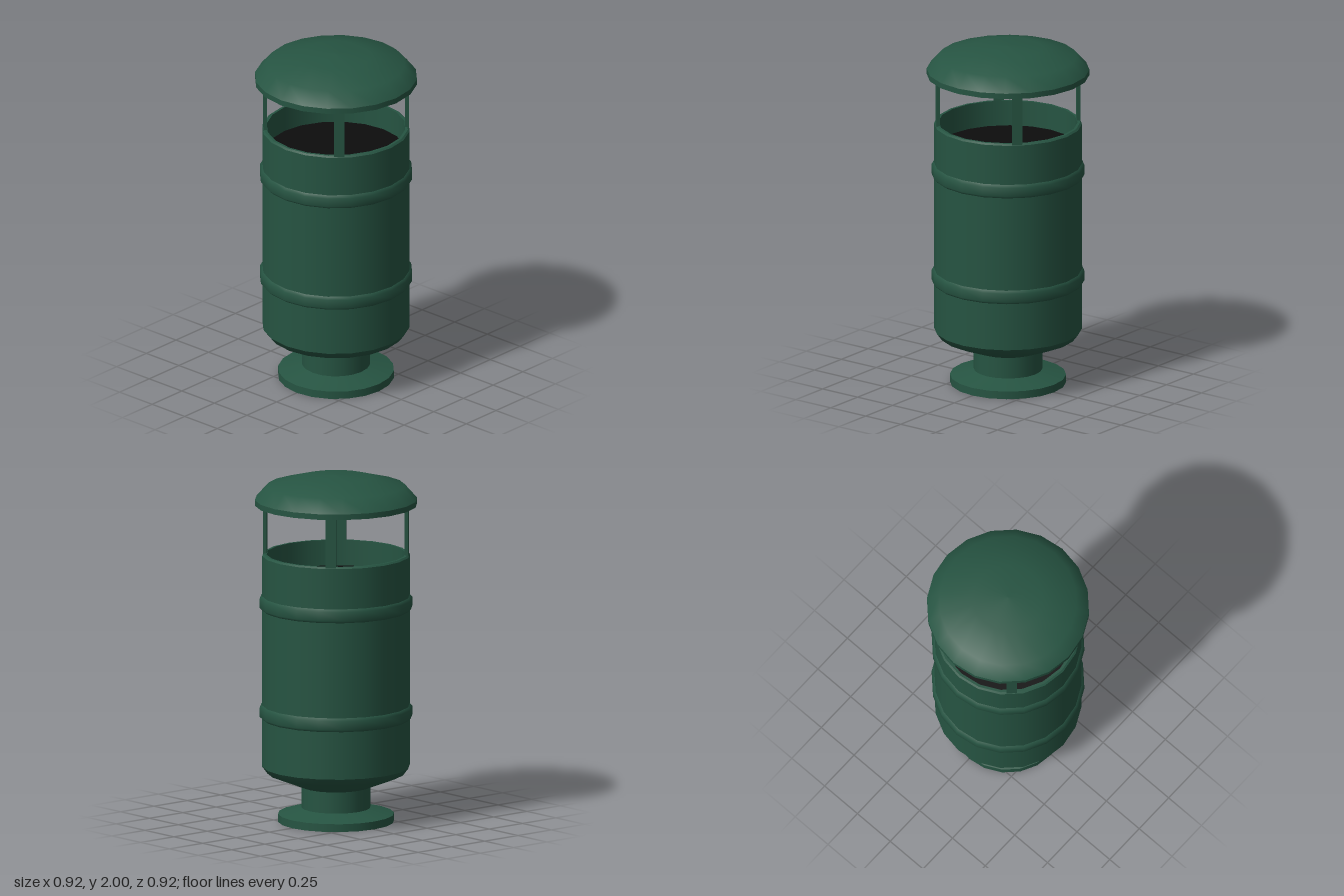
import * as THREE from 'three';
import { mergeGeometries } from 'three/addons/utils/BufferGeometryUtils.js';

const SIDES = 20;

// Turned part: each strip is smooth inside, with a sharp edge between strips.
function turned(name, material, ...strips) {
  const parts = strips.map((strip) =>
    new THREE.LatheGeometry(strip.map(([r, y]) => new THREE.Vector2(r, y)), SIDES));
  const mesh = new THREE.Mesh(mergeGeometries(parts), material);
  mesh.name = name;
  return mesh;
}

export function createModel() {
  const green = new THREE.MeshStandardMaterial({ color: 0x265442 });
  green.name = 'dark green paint';
  const black = new THREE.MeshStandardMaterial({ color: 0x0d0d0d });
  black.name = 'black interior';

  const model = new THREE.Group();
  model.name = 'litterBin';

  // Foot plate and neck
  model.add(turned('base', green,
    [[0, 0], [0.33, 0]],
    [[0.33, 0], [0.33, 0.045]],
    [[0.33, 0.045], [0.195, 0.08]]));
  model.add(turned('neck', green, [[0.195, 0.075], [0.195, 0.21]]));

  // Barrel with tapered bottom, two raised bands, rim and inner wall
  const band = (y) => [[0.42, y - 0.04], [0.435, y - 0.025], [0.435, y + 0.025], [0.42, y + 0.04]];
  model.add(turned('barrel', green,
    [[0.19, 0.2], [0.39, 0.28], [0.42, 0.32]],
    [[0.42, 0.32], [0.42, 0.595]],
    band(0.635),
    [[0.42, 0.675], [0.42, 1.225]],
    band(1.265),
    [[0.42, 1.305], [0.42, 1.538]],
    [[0.42, 1.538], [0.41, 1.547]],
    [[0.41, 1.547], [0.395, 1.547]],
    [[0.395, 1.547], [0.395, 1.4]]));

  // Dark opening inside the barrel
  model.add(turned('opening', black, [[0.395, 1.4], [0, 1.4]]));

  // Four flat posts on the diagonals
  const postGeometry = new THREE.BoxGeometry(0.06, 0.36, 0.02);
  for (let i = 0; i < 4; i++) {
    const angle = Math.PI / 4 + (i * Math.PI) / 2;
    const post = new THREE.Mesh(postGeometry, green);
    post.name = 'post' + (i + 1);
    post.position.set(0.402 * Math.sin(angle), 1.66, 0.402 * Math.cos(angle));
    post.rotation.y = angle;
    model.add(post);
  }

  // Domed lid with dark underside
  model.add(turned('lid', green,
    [[0.395, 1.83], [0.462, 1.83]],
    [[0.462, 1.83], [0.462, 1.862]],
    [[0.462, 1.862], [0.392, 1.94], [0.2, 1.99], [0, 2]]));
  model.add(turned('lidUnderside', black, [[0, 1.83], [0.395, 1.83]]));

  return model;
}
